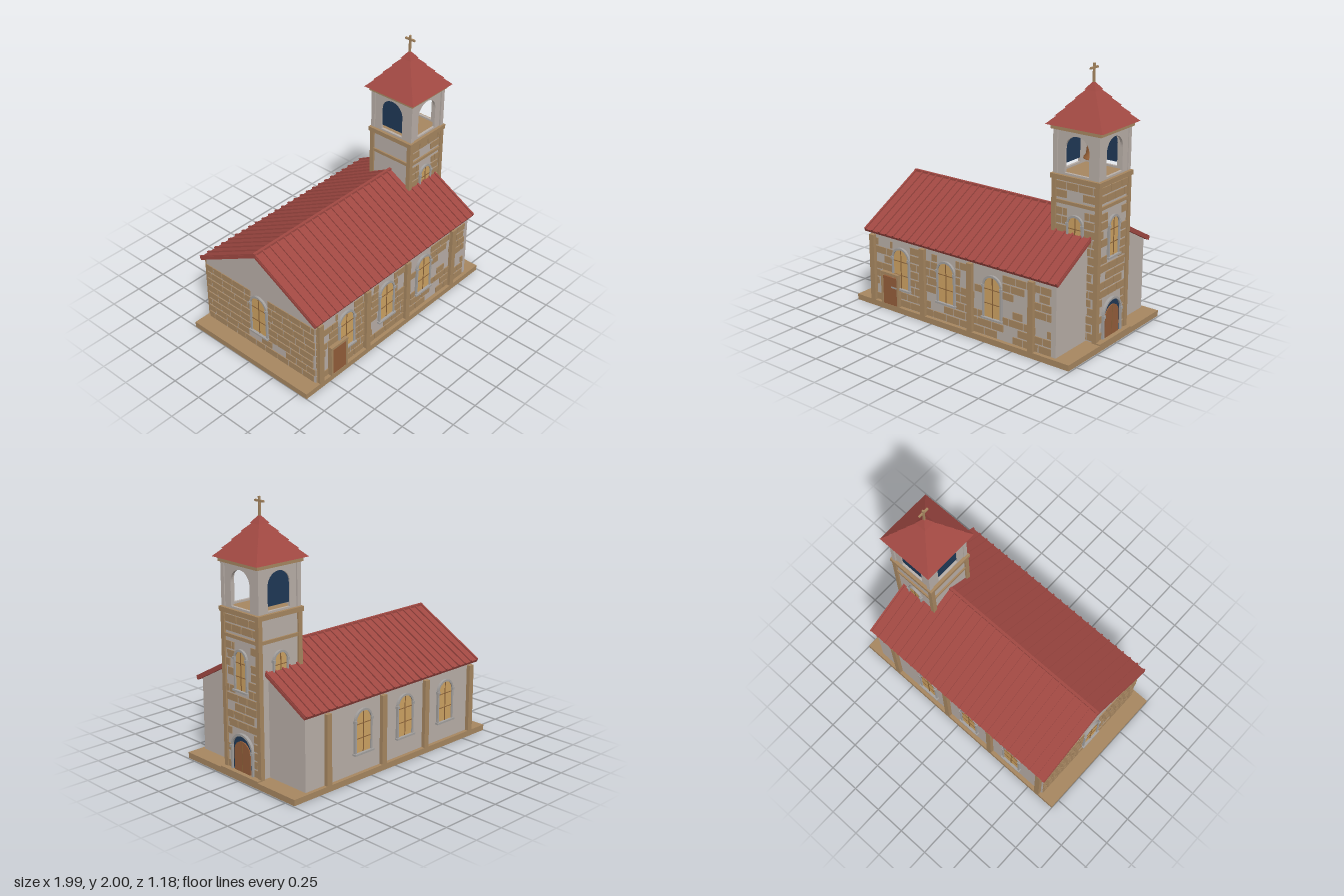
import * as THREE from 'three';
import { mergeGeometries } from 'three/addons/utils/BufferGeometryUtils.js';

const mat = (name, color) => {
  const m = new THREE.MeshStandardMaterial({ color });
  m.name = name;
  return m;
};

export function createModel() {
  const plaster = mat('plaster', 0xb8aea7), stone = mat('sandstone', 0xa68660), red = mat('roofRed', 0xa04842);
  const trim = mat('greyTrim', 0xa3a09e), glass = mat('amberGlass', 0xcda262), wood = mat('wood', 0x935d3a);
  const navy = mat('darkBlue', 0x1f3856), bronze = mat('bronze', 0x9a6238), dark = mat('darkWood', 0x8a6238);
  red.flatShading = true;
  const model = new THREE.Group();
  model.name = 'church';

  let seed = 7;
  const rand = () => (seed = (seed * 16807) % 2147483647) / 2147483647;

  const add = (parent, name, geo, material, x = 0, y = 0, z = 0) => {
    const m = new THREE.Mesh(geo, material);
    m.name = name;
    m.position.set(x, y, z);
    parent.add(m);
    return m;
  };
  const box = (parent, name, material, w, h, d, x, y, z) =>
    add(parent, name, new THREE.BoxGeometry(w, h, d), material, x, y, z);
  const group = (parent, name, x = 0, y = 0, z = 0, ry = 0) => {
    const g = new THREE.Group();
    g.name = name;
    g.position.set(x, y, z);
    g.rotation.y = ry;
    parent.add(g);
    return g;
  };

  // Round-headed outline, r = half width, from y0 up to the crown y1
  const arch = (r, y0, y1, Type = THREE.Shape) => {
    const s = new Type();
    s.moveTo(-r, y0);
    s.lineTo(r, y0);
    s.lineTo(r, y1 - r);
    s.absarc(0, y1 - r, r, 0, Math.PI, false);
    s.lineTo(-r, y0);
    return s;
  };
  const slab = (shape, depth) => new THREE.ExtrudeGeometry(shape, { depth, bevelEnabled: false, curveSegments: 10 });

  // Arched window lying on a wall whose outward direction is local +z
  const archWindow = (wall, x, y0, y1, r) => {
    const g = group(wall, 'window', x);
    add(g, 'pane', slab(arch(r, y0, y1), 0.008), glass);
    const frame = arch(r + 0.014, y0, y1 + 0.016);
    frame.holes.push(arch(r, y0, y1, THREE.Path));
    add(g, 'frame', slab(frame, 0.018), trim);
    box(g, 'sill', trim, 2 * r + 0.045, 0.014, 0.028, 0, y0 - 0.004, 0.014);
    for (const s of [-1, 1]) box(g, 'impost', trim, 0.02, 0.02, 0.024, s * (r + 0.009), y1 - r, 0.012);
    box(g, 'mullion', dark, 0.006, y1 - y0 - 0.005, 0.004, 0, (y0 + y1) / 2, 0.01);
    for (const t of [0.35, 0.7]) box(g, 'glazingBar', dark, 2 * r, 0.005, 0.004, 0, y0 + (y1 - y0) * t, 0.01);
  };

  // Courses of thin stones filling a rectangle, leaving out the holes [x0, x1, y0, y1]
  const stones = (wall, x0, x1, y0, y1, holes, fill) => {
    const geos = [], pitch = 0.0635, h = 0.052;
    for (let y = y0; y + h <= y1 + 0.001; y += pitch) {
      let spans = [[x0, x1]];
      for (const [a, b, c, d] of holes) {
        if (d <= y || c >= y + h) continue;
        spans = spans.flatMap(([p, q]) => (b <= p || a >= q ? [[p, q]] : [[p, a], [b, q]]));
      }
      for (const [p, q] of spans) {
        let x = p - 0.09 * rand();
        while (x < q) {
          const len = 0.08 + 0.045 * rand();
          const a = Math.max(x, p), b = Math.min(x + len, q);
          if (b - a > 0.018 && rand() < fill)
            geos.push(new THREE.BoxGeometry(b - a, h, 0.008).translate((a + b) / 2, y + h / 2, 0.003));
          x += len + 0.01;
        }
      }
    }
    add(wall, 'stonework', mergeGeometries(geos), stone);
  };

  // Base
  box(model, 'base', stone, 1.99, 0.045, 1.16, -0.005, 0.0225, 0);
  box(model, 'doorStep', stone, 0.05, 0.02, 0.4, 0.965, 0.045, 0);

  // Nave body with gables
  const section = new THREE.Shape([[-0.55, 0.04], [0.55, 0.04], [0.55, 0.6], [0, 0.897], [-0.55, 0.6]]
    .map(([x, y]) => new THREE.Vector2(x, y)));
  add(model, 'nave', slab(section, 1.73).rotateY(Math.PI / 2), plaster, -0.87, 0, 0);

  // Long walls: posts and windows on both, stones and side door in front
  const windowXs = [-0.555, -0.115, 0.315];
  for (const s of [1, -1]) {
    const wall = group(model, s > 0 ? 'frontWall' : 'backWall', 0, 0, s * 0.55, s > 0 ? 0 : Math.PI);
    for (const x of [-0.835, -0.335, 0.115, 0.66]) box(wall, 'post', stone, 0.045, 0.53, 0.06, s * x, 0.305, 0);
    for (const x of windowXs) archWindow(wall, s * x, 0.195, 0.505, 0.072);
    if (s < 0) continue;
    const holes = windowXs.map((x) => [x - 0.09, x + 0.09, 0.18, 0.56]);
    stones(wall, -0.865, 0.82, 0.05, 0.555, [...holes, [-0.74, -0.57, 0, 0.3]], 0.8);
    const door = group(wall, 'sideDoor', -0.655);
    box(door, 'doorLeaf', wood, 0.145, 0.225, 0.02, 0, 0.157, 0.018);
    for (const d of [-1, 1]) box(door, 'doorJamb', stone, 0.016, 0.25, 0.036, d * 0.079, 0.17, 0.018);
    box(door, 'doorLintel', stone, 0.174, 0.02, 0.038, 0, 0.295, 0.019);
  }

  // Rear gable wall
  const rear = group(model, 'rearWall', -0.87, 0, 0, -Math.PI / 2);
  stones(rear, -0.545, 0.545, 0.05, 0.6, [[-0.09, 0.09, 0.18, 0.55]], 0.97);
  archWindow(rear, 0, 0.195, 0.52, 0.072);

  // Nave roof: two ribbed slopes and a ridge
  const pitchAngle = Math.atan(0.32 / 0.585);
  const slopeLength = Math.hypot(0.32, 0.585);
  for (const s of [0, 1]) {
    const side = group(model, 'roofSlope', -0.005, 0.925, 0, s * Math.PI);
    const slope = group(side, 'slope');
    slope.rotation.x = pitchAngle;
    box(slope, 'roofSheet', red, 1.79, 0.022, slopeLength, 0, -0.011, slopeLength / 2);
    for (let i = 0; i < 26; i++)
      box(slope, 'roofRib', red, 0.014, 0.012, slopeLength, -0.885 + i * 0.0708, 0.005, slopeLength / 2);
  }
  box(model, 'ridge', red, 1.79, 0.018, 0.022, -0.005, 0.927, 0);

  // Tower shaft
  const tower = group(model, 'tower', 0.755, 0, 0);
  box(tower, 'shaft', plaster, 0.37, 1.17, 0.37, 0, 0.625, 0);
  for (const x of [-1, 1]) for (const z of [-1, 1]) {
    box(tower, 'cornerPost', stone, 0.035, 1.16, 0.035, x * 0.1825, 0.625, z * 0.1825);
    box(tower, 'belfryPillar', plaster, 0.034, 0.31, 0.034, x * 0.175, 1.395, z * 0.18);
  }
  box(tower, 'band', stone, 0.396, 0.024, 0.396, 0, 1.04, 0);
  box(tower, 'cornice', stone, 0.416, 0.035, 0.416, 0, 1.218, 0);
  box(tower, 'upperCornice', stone, 0.416, 0.032, 0.416, 0, 1.569, 0);

  // Tower faces, in order: front, door side, back, nave side
  ['front', 'entrance', 'back', 'naveSide'].forEach((name, i) => {
    const face = group(tower, name + 'Face', 0, 0, 0, i * Math.PI / 2);
    const skin = group(face, 'skin', 0, 0, 0.185);
    if (i < 3) archWindow(skin, 0, 0.66, 0.945, 0.055);
    if (i < 2) {
      const holes = [[-0.075, 0.075, 0.64, 0.97], [-0.2, 0.2, 1.02, 1.06]];
      if (i === 1) holes.push([-0.12, 0.12, 0, 0.345]);
      stones(skin, -0.165, 0.165, 0.055, 1.2, holes, 0.88);
    }
    // Belfry wall with its opening
    const wall = new THREE.Shape([[-0.17, 1.235], [0.17, 1.235], [0.17, 1.555], [-0.17, 1.555]]
      .map(([x, y]) => new THREE.Vector2(x, y)));
    wall.holes.push(arch(0.1, 1.25, 1.52, THREE.Path));
    add(face, 'belfryWall', slab(wall, 0.02), plaster, 0, 0, 0.165);
    if (i > 1) add(face, 'belfryPanel', slab(arch(0.1, 1.28, 1.52), 0.006), navy, 0, 0, 0.169);
    if (i !== 1) return;
    // Main entrance
    const door = group(skin, 'mainDoor');
    add(door, 'doorRecess', slab(arch(0.105, 0.045, 0.325), 0.008), navy);
    add(door, 'doorLeaf', slab(arch(0.085, 0.045, 0.285), 0.016), wood);
    box(door, 'doorGap', dark, 0.005, 0.235, 0.003, 0, 0.163, 0.0165);
    const frame = arch(0.118, 0.045, 0.342);
    frame.holes.push(arch(0.103, 0.045, 0.325, THREE.Path));
    add(door, 'doorFrame', slab(frame, 0.022), trim);
    for (const s of [-1, 1]) box(door, 'doorImpost', trim, 0.024, 0.022, 0.028, s * 0.111, 0.225, 0.014);
  });

  // Bell
  const bell = group(tower, 'bell', 0, 1.32, 0);
  const profile = [[0.062, 0.01], [0.06, 0.022], [0.046, 0.04], [0.04, 0.07], [0.038, 0.11], [0.028, 0.135], [0, 0.145]]
    .map(([x, y]) => new THREE.Vector2(x, y));
  const bellMaterial = bronze;
  bellMaterial.side = THREE.DoubleSide;
  add(bell, 'bellBody', new THREE.LatheGeometry(profile, 24), bellMaterial);
  add(bell, 'clapper', new THREE.SphereGeometry(0.014, 12, 8), bellMaterial, 0, 0.006, 0);
  add(bell, 'hanger', new THREE.CylinderGeometry(0.008, 0.008, 0.1, 10), bellMaterial, 0, 0.19, 0);

  // Tiered spire roof
  const halfWidth = (y) => 0.235 * (1.875 - y) / 0.29;
  for (let i = 0; i < 5; i++) {
    const y0 = 1.585 + i * 0.058, y1 = y0 + 0.058;
    const top = Math.max(0.002, halfWidth(y1) - 0.01);
    const tier = new THREE.CylinderGeometry(top * Math.SQRT2, halfWidth(y0) * Math.SQRT2, 0.058, 4);
    add(tower, 'spireTier', tier.rotateY(Math.PI / 4), red, 0, (y0 + y1) / 2, 0);
  }

  // Cross
  box(tower, 'crossPole', stone, 0.014, 0.15, 0.014, 0, 1.925, 0);
  box(tower, 'crossArm', stone, 0.014, 0.014, 0.088, 0, 1.968, 0);

  return model;
}
